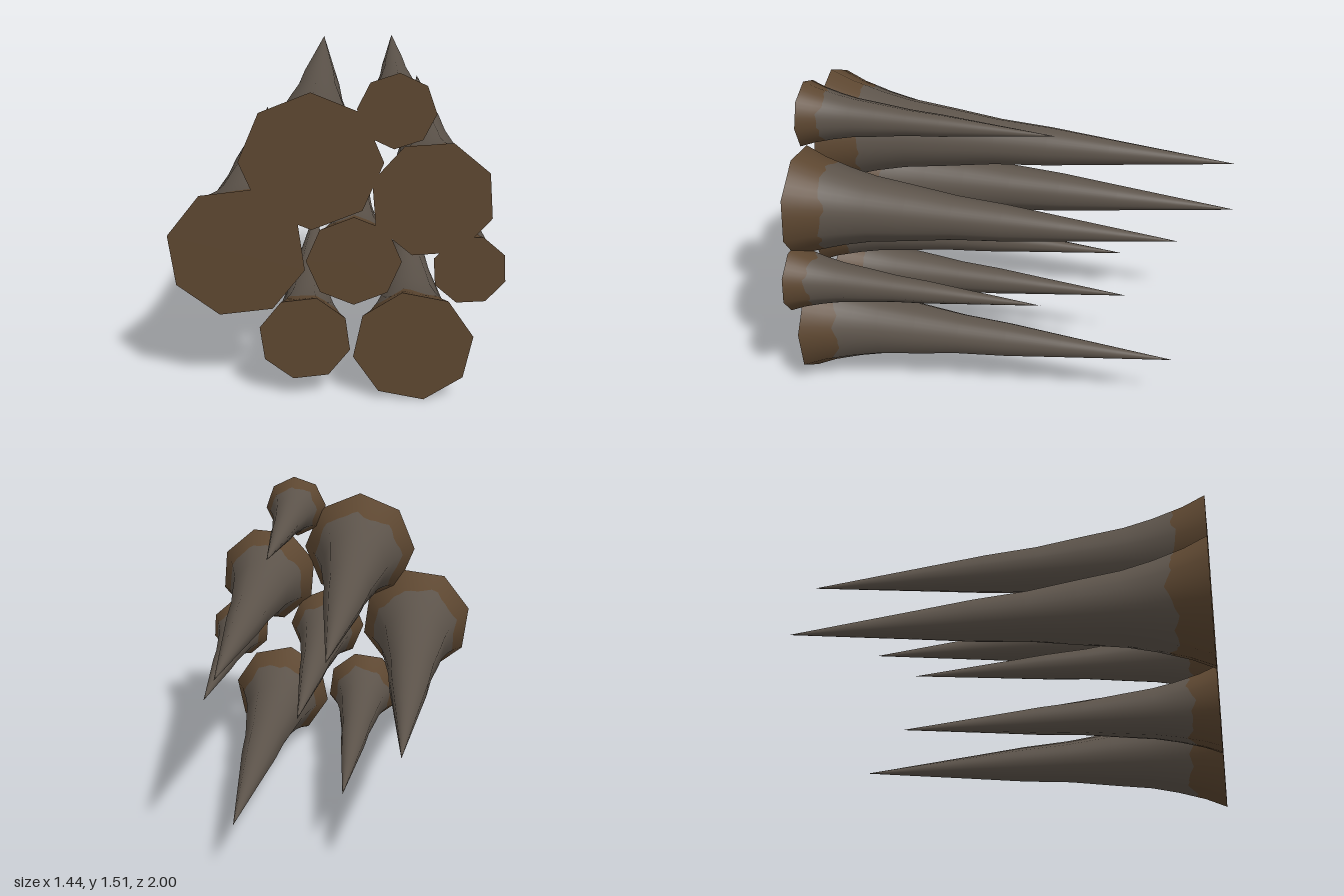
import * as THREE from 'three';

const SIDES = 8, SUB = 5, COLS = SIDES * SUB;

// Flared profile: fraction of length from the base, fraction of base radius
const PROFILE = [
  [0, 1], [0.055, 0.84], [0.13, 0.69], [0.2, 0.585], [0.3, 0.5],
  [0.42, 0.39], [0.55, 0.325], [0.7, 0.215], [0.85, 0.108], [1, 0],
];

// x, y, base radius, length, rotation in degrees
const SPIKES = [
  [-0.11, 1.125, 0.305, 2.0, 0],
  [-0.432, 0.71, 0.303, 2.0, -15],
  [0.4, 0.96, 0.267, 1.8, -18],
  [0.33, 0.267, 0.267, 1.8, 11],
  [0.07, 0.675, 0.205, 1.5, 0],
  [-0.142, 0.303, 0.204, 1.5, -15],
  [0.565, 0.638, 0.163, 1.2, -19],
  [0.245, 1.35, 0.165, 1.2, -3.5],
];

function radiusAt(t) {
  let k = 1;
  while (k < PROFILE.length - 1 && t > PROFILE[k][0]) k++;
  const [t0, r0] = PROFILE[k - 1], [t1, r1] = PROFILE[k];
  return THREE.MathUtils.lerp(r0, r1, (t - t0) / (t1 - t0));
}

// Ragged edge between the brown base and the grey shaft
function raggedEdge(i, seed) {
  const a = (i / COLS) * Math.PI * 2;
  return 0.085 + 0.009 * Math.sin(3 * a + seed * 2.1) + 0.006 * Math.sin(7 * a + seed)
    + 0.004 * Math.sin(13 * a + seed * 3.7);
}

// Eight-sided tapering body with smooth normals; group 0 is the base, group 1 the shaft
function bodyGeometry(radius, length, turn, seed) {
  const ts = PROFILE.map((p) => p[0]);
  ts.splice(2, 0, 'edge');
  const pos = [], nor = [], idx = [];
  const n = new THREE.Vector3();
  for (const ring of ts) {
    for (let i = 0; i < COLS; i++) {
      const t = ring === 'edge' ? raggedEdge(i, seed) : ring;
      const step = (Math.PI * 2) / SIDES, f = (i % SUB) / SUB;
      const a0 = turn + Math.floor(i / SUB) * step, a1 = a0 + step;
      const r = radius * radiusAt(t);
      const x = THREE.MathUtils.lerp(Math.cos(a0), Math.cos(a1), f);
      const y = THREE.MathUtils.lerp(Math.sin(a0), Math.sin(a1), f);
      pos.push(x * r, y * r, 1 - t * length);
      const lo = Math.max(0, t - 0.05), hi = Math.min(1, t + 0.05);
      const slope = (radiusAt(lo) - radiusAt(hi)) * radius / ((hi - lo) * length);
      const a = a0 + f * step;
      n.set(Math.cos(a), Math.sin(a), -slope).normalize();
      nor.push(n.x, n.y, n.z);
    }
  }
  for (let j = 0; j < ts.length - 1; j++) {
    for (let i = 0; i < COLS; i++) {
      const k = (i + 1) % COLS;
      const a = j * COLS + i, b = j * COLS + k, c = a + COLS, d = b + COLS;
      idx.push(a, c, b, b, c, d);
    }
  }
  const g = new THREE.BufferGeometry();
  g.setAttribute('position', new THREE.Float32BufferAttribute(pos, 3));
  g.setAttribute('normal', new THREE.Float32BufferAttribute(nor, 3));
  g.setIndex(idx);
  const split = 2 * COLS * 6;
  g.addGroup(0, split, 0);
  g.addGroup(split, idx.length - split, 1);
  return g;
}

export function createModel() {
  const brown = new THREE.MeshStandardMaterial({ color: 0x5c4630 });
  brown.name = 'earthBrown';
  const grey = new THREE.MeshStandardMaterial({ color: 0x5c534a });
  grey.name = 'stoneGrey';

  const model = new THREE.Group();
  model.name = 'spikeCluster';
  SPIKES.forEach(([x, y, radius, length, degrees], i) => {
    const turn = THREE.MathUtils.degToRad(degrees);
    const spike = new THREE.Group();
    spike.name = `spike${i + 1}`;
    spike.position.set(x, y, 0);

    const body = new THREE.Mesh(bodyGeometry(radius, length, turn, i + 1), [brown, grey]);
    body.name = 'spikeBody';

    // Flat octagonal end facing the front
    const cap = new THREE.Mesh(new THREE.CircleGeometry(radius, SIDES, turn), brown);
    cap.name = 'spikeBase';
    cap.position.z = 1;

    spike.add(body, cap);
    model.add(spike);
  });
  return model;
}
